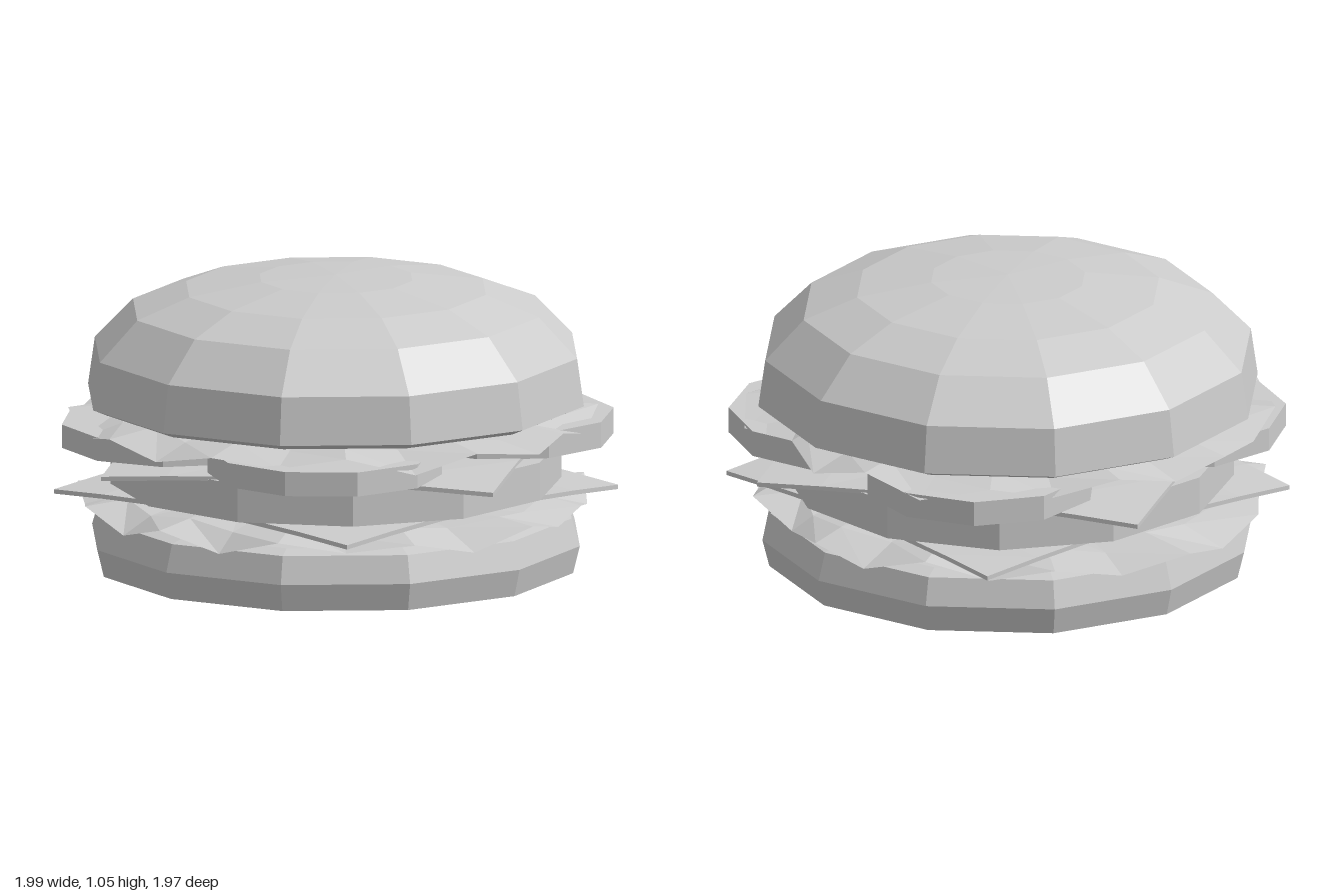
import * as THREE from 'three';

const material = new THREE.MeshStandardMaterial({ color: 0xcccccc, flatShading: true });
const sheetMaterial = new THREE.MeshStandardMaterial({ color: 0xcccccc, flatShading: true, side: THREE.DoubleSide });

function add(group, name, geometry, mat = material) {
  const mesh = new THREE.Mesh(geometry, mat);
  mesh.name = name;
  group.add(mesh);
  return mesh;
}

// Twelve-sided bun turned from a profile of [radius, height]
function bun(profile) {
  return new THREE.LatheGeometry(profile.map(([r, y]) => new THREE.Vector2(r, y)), 12);
}

// Thin square slice whose overhanging corners droop
function cheese(side, turn, y, droop) {
  const geometry = new THREE.BoxGeometry(side, 0.016, side, 6, 1, 6);
  const p = geometry.attributes.position;
  for (let i = 0; i < p.count; i++) {
    const r = Math.hypot(p.getX(i), p.getZ(i));
    p.setY(i, p.getY(i) - droop * Math.max(0, r - 0.72));
  }
  return geometry.rotateY(turn).translate(0, y, 0);
}

// Crinkled leaf: rings of points whose rim zigzags up and down
function lettuce(rim, top, drop, phase) {
  const n = rim.length;
  const positions = [0, top, 0];
  const index = [];
  const rings = [0.5, 0.77, 1];
  rings.forEach((t, k) => {
    for (let i = 0; i < n; i++) {
      const a = (i / n) * Math.PI * 2;
      const r = k === 2 ? rim[i] : t + (k === 1 ? 0.03 * Math.sin(i * 2.3 + phase) : 0);
      const up = (i + phase) % 2 === 0;
      const wobble = 0.012 * Math.sin(i * 1.7 + phase);
      const fall = k === 0 ? 0 : k === 1 ? (up ? 0 : 0.022) : (up ? drop * 0.3 : drop) + wobble;
      positions.push(r * Math.sin(a), top - fall, r * Math.cos(a));
    }
  });
  for (let i = 0; i < n; i++) {
    const j = (i + 1) % n;
    index.push(0, 1 + i, 1 + j);
    for (let k = 0; k < 2; k++) {
      const a = 1 + k * n + i, b = 1 + k * n + j;
      index.push(a, a + n, b + n, a, b + n, b);
    }
  }
  const geometry = new THREE.BufferGeometry();
  geometry.setAttribute('position', new THREE.Float32BufferAttribute(positions, 3));
  geometry.setIndex(index);
  geometry.computeVertexNormals();
  return geometry;
}

export function createModel() {
  const model = new THREE.Group();
  model.name = 'hamburger';

  // Buns
  add(model, 'bottomBun', bun([[0, 0], [0.87, 0], [0.895, 0.1], [0.865, 0.2], [0.8, 0.215], [0, 0.215]]));
  add(model, 'topBun', bun([
    [0, 0.59], [0.86, 0.59], [0.91, 0.612], [0.885, 0.785], [0.745, 0.93], [0.55, 1.003], [0.28, 1.042], [0, 1.053],
  ]));

  // Lettuce leaves
  const lowerRim = [
    0.93, 0.9, 0.94, 0.9, 0.95, 0.93, 0.96, 0.9, 0.9, 0.9, 0.93, 0.86,
    0.91, 0.92, 0.9, 0.87, 0.9, 0.94, 1.0, 0.93, 0.95, 0.9, 0.94, 0.9,
  ];
  const upperRim = [
    0.95, 0.96, 0.94, 0.91, 0.96, 0.95, 0.99, 0.92, 0.91, 0.94, 0.96, 0.86,
    0.92, 0.91, 0.96, 0.87, 0.88, 0.92, 0.92, 0.94, 0.93, 0.96, 0.95, 0.96,
  ];
  add(model, 'lowerLettuce', lettuce(lowerRim, 0.28, 0.07, 0), sheetMaterial);
  add(model, 'upperLettuce', lettuce(upperRim, 0.583, 0.06, 1), sheetMaterial);

  // Cheese slices
  add(model, 'lowerCheese', cheese(1.43, 0, 0.296, 0.1));
  add(model, 'upperCheese', cheese(1.43, Math.PI / 4 - 0.235, 0.446, 0.08));

  // Patty
  const patty = add(model, 'patty', new THREE.CylinderGeometry(0.81, 0.81, 0.138, 12));
  patty.position.y = 0.369;
  patty.rotation.y = THREE.MathUtils.degToRad(17);

  // Tomato slices
  const slices = [[-0.36, 0.45], [0.38, 0.47], [-0.35, -0.43], [0.39, -0.43]];
  slices.forEach(([x, z], i) => {
    const slice = add(model, 'tomatoSlice' + (i + 1), new THREE.CylinderGeometry(0.42, 0.42, 0.085 + i * 0.003, 10));
    slice.position.set(x, 0.496, z);
    slice.rotation.y = i * 0.4;
  });

  return model;
}
